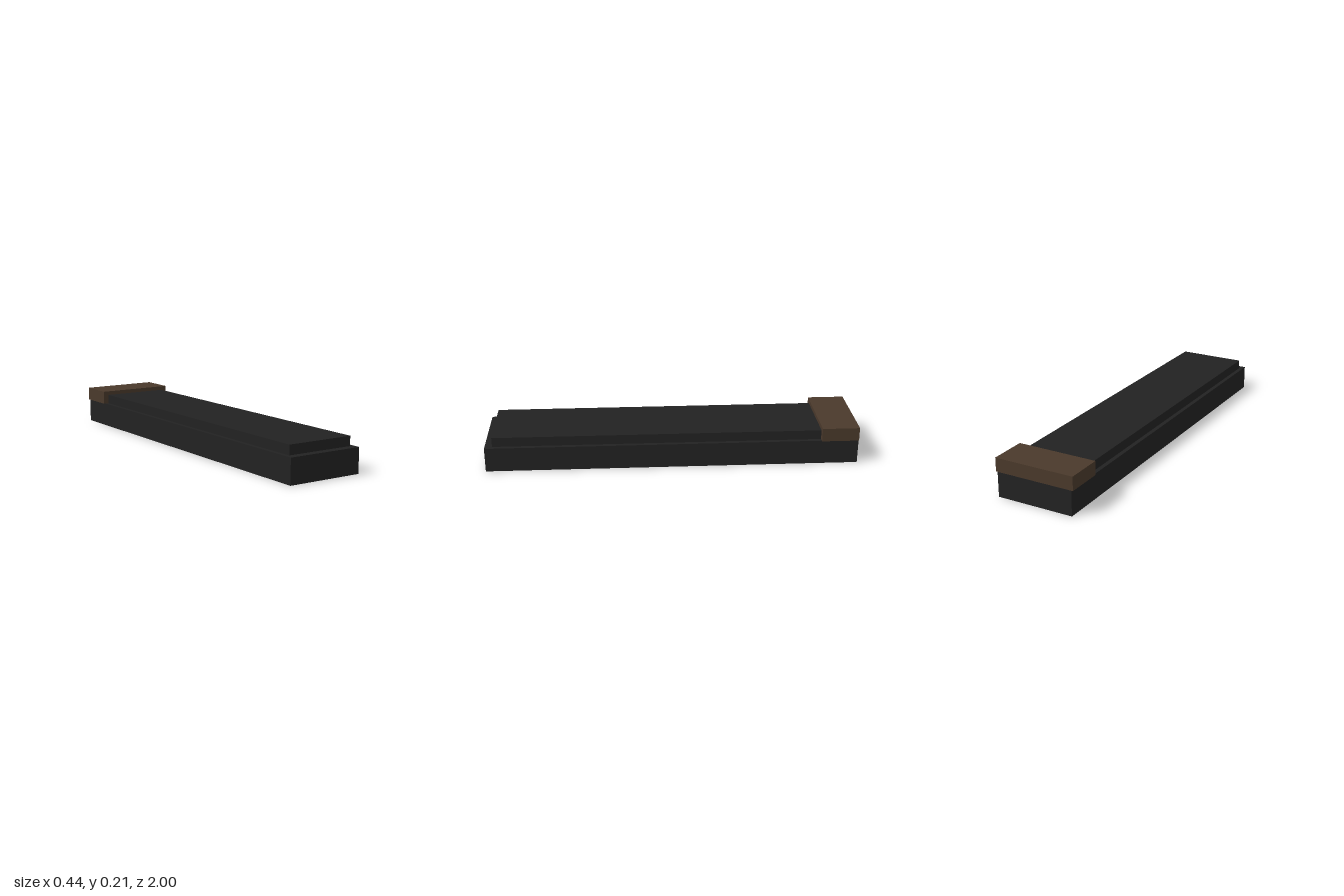
import * as THREE from 'three';

export function createModel() {
  const group = new THREE.Group();
  const charcoal = new THREE.MeshStandardMaterial({ color: 0x222222 });
  charcoal.name = 'charcoal';
  const brown = new THREE.MeshStandardMaterial({ color: 0x4a392b });
  brown.name = 'brown';

  // Box centred on x, given by its width and its y and z ranges
  function addBox(name, material, width, y0, y1, z0, z1) {
    const mesh = new THREE.Mesh(new THREE.BoxGeometry(width, y1 - y0, z1 - z0), material);
    mesh.name = name;
    mesh.position.set(0, (y0 + y1) / 2, (z0 + z1) / 2);
    group.add(mesh);
  }

  // Long base block
  addBox('base', charcoal, 0.419, 0, 0.133, -1, 1);
  // Inset slab on the base, running under the end cap
  addBox('topSlab', charcoal, 0.374, 0.133, 0.184, -0.96, 0.96);
  // Wider raised cap across the back end
  addBox('endCap', brown, 0.437, 0.133, 0.206, -1, -0.8);

  return group;
}
